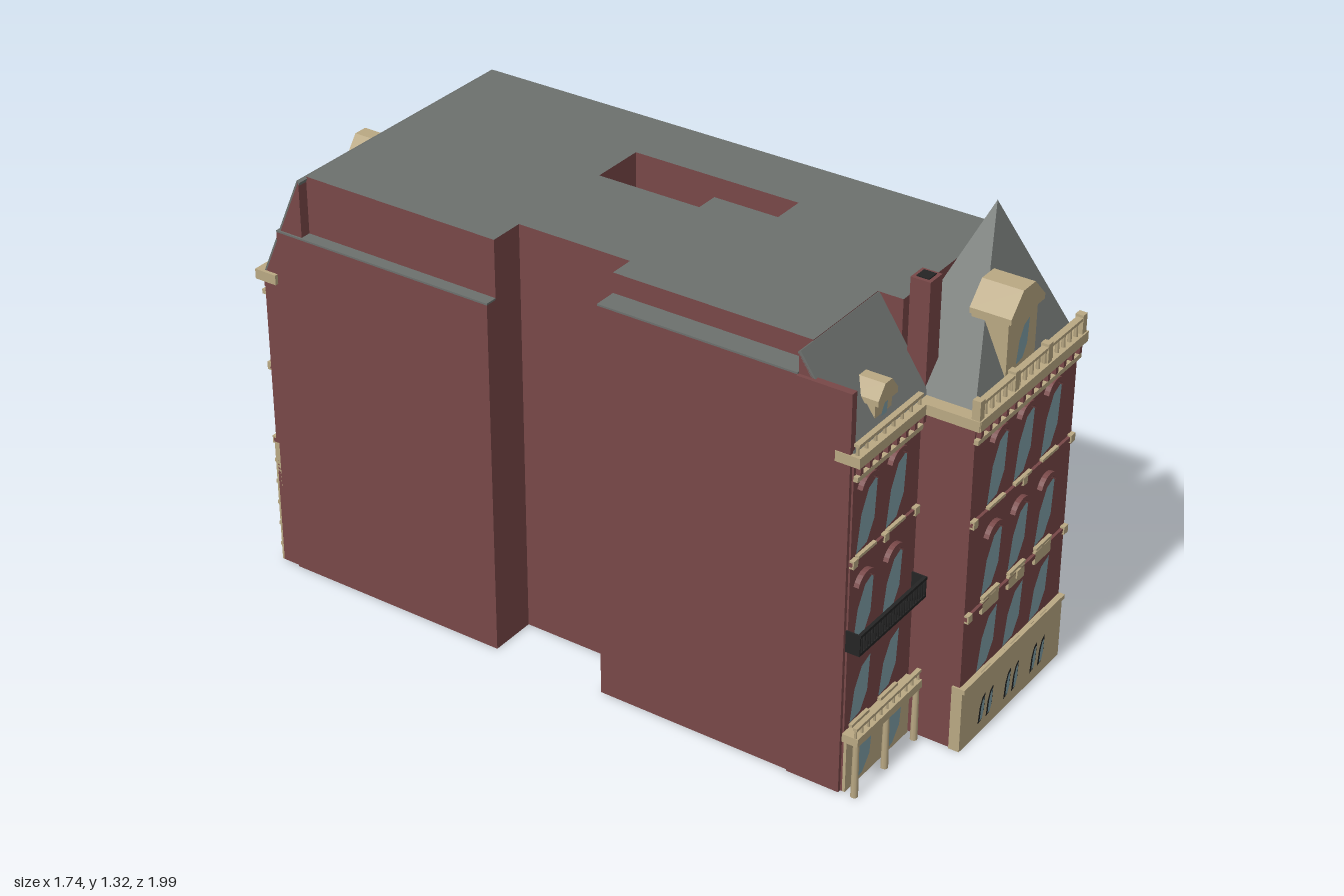
import * as THREE from 'three';
import { ConvexGeometry } from 'three/addons/geometries/ConvexGeometry.js';

const mat = (name, color, side = THREE.FrontSide) => {
  const m = new THREE.MeshStandardMaterial({ color, side });
  m.name = name;
  return m;
};

export function createModel() {
  const brick = mat('brick', 0x784848);
  const slate = mat('slate', 0x6c706d);
  const stone = mat('stone', 0xb9a883);
  const glass = mat('glass', 0x7fa0a8, THREE.DoubleSide);
  const iron = mat('iron', 0x242424);

  const model = new THREE.Group();
  model.name = 'townhouse';
  const house = new THREE.Group();
  house.name = 'house';
  house.rotation.y = 0.562; // the block stands at an angle
  model.add(house);

  const add = (parent, name, geo, material) => {
    const m = new THREE.Mesh(geo, material);
    m.name = name;
    parent.add(m);
    return m;
  };
  // Box given by its limits on each axis
  const box = (parent, name, material, x0, x1, y0, y1, z0, z1) => {
    const m = add(parent, name, new THREE.BoxGeometry(x1 - x0, y1 - y0, z1 - z0), material);
    m.position.set((x0 + x1) / 2, (y0 + y1) / 2, (z0 + z1) / 2);
    return m;
  };
  const polygon = pts => pts.map(p => new THREE.Vector2(p[0], p[1]));
  const extrude = (shape, depth) => new THREE.ExtrudeGeometry(shape, { depth, bevelEnabled: false, curveSegments: 5 });

  // Main body with side notch and open courtyard
  const plan = new THREE.Shape(polygon([[0.38, 0.77], [-0.39, 0.77], [-0.39, 0.18], [-0.29, 0.18], [-0.29, -0.15],
    [-0.36, -0.15], [-0.36, -0.71], [-0.08, -0.71], [-0.08, -0.78], [0.38, -0.78]]));
  plan.holes.push(new THREE.Path(polygon([[0.193, 0.173], [0.193, -0.316], [0.1, -0.316], [0.1, -0.129],
    [0.034, -0.129], [0.034, 0.173]])));
  const bottom = add(house, 'underside', extrude(plan, 0.004), brick);
  const body = add(house, 'mainBody', extrude(plan, 1.176), [slate, brick]);
  bottom.rotation.x = body.rotation.x = -Math.PI / 2;
  body.position.y = 0.004;

  // Lower strips along the left side
  const strip = (x0, x1, z0, z1, h) => {
    box(house, 'sideStrip', brick, x0, x1, 0, h, z0, z1);
    box(house, 'sideStripRoof', slate, x0, x1, h, h + 0.005, z0, z1);
  };
  strip(-0.425, -0.36, 0.15, 0.71, 1.12);
  strip(-0.425, -0.39, -0.85, -0.18, 1.015);
  box(house, 'partyWall', brick, -0.43, -0.41, 0, 1.12, 0.71, 0.86);

  // Block whose outer top edge slopes, with a slate sheet on the slope
  const mansard = (name, x0, x1, zIn, zOut, yLow, yHigh) => {
    const g = extrude(new THREE.Shape(polygon([[zIn, 0], [zOut, 0], [zOut, yLow], [zIn, yHigh]])), x1 - x0);
    g.rotateY(-Math.PI / 2);
    add(house, name, g, brick).position.x = x1;
    const sheet = add(house, name + 'Slope',
      new THREE.BoxGeometry(x1 - x0, Math.hypot(zIn - zOut, yHigh - yLow), 0.01), slate);
    sheet.position.set((x0 + x1) / 2, (yLow + yHigh) / 2, (zIn + zOut) / 2);
    sheet.rotation.x = Math.atan2(zIn - zOut, yHigh - yLow);
  };
  mansard('backBlock', -0.42, 0.38, -0.77, -0.905, 0.87, 1.178);
  mansard('leftWing', -0.42, -0.08, 0.71, 0.865, 0.95, 1.178);

  // Projecting right bay with its pyramid roof
  box(house, 'rightBay', brick, -0.12, 0.38, 0, 0.95, 0.76, 1.01);
  add(house, 'pyramidRoof', new ConvexGeometry([[0.253, 1.315, 0.833], [-0.11, 0.95, 1.0], [0.378, 0.95, 1.0],
    [0.378, 1.02, 0.77], [0.378, 0.95, 0.77], [-0.11, 0.95, 0.72]].map(p => new THREE.Vector3(...p))), slate);

  // Chimney with a dark pot opening
  box(house, 'chimney', brick, -0.088, -0.034, 0.9, 1.25, 0.8, 0.854);
  box(house, 'chimneyOpening', iron, -0.078, -0.044, 1.25, 1.253, 0.81, 0.844);

  // Facade details sit on groups whose z = 0 is the wall face
  const facade = (name, z, back) => {
    const g = new THREE.Group();
    g.name = name;
    g.position.z = z;
    if (back) g.rotation.y = Math.PI;
    house.add(g);
    return g;
  };
  const paneShape = new THREE.Shape(polygon([[-0.5, -0.5], [0.05, -0.45], [0.4, -0.15], [0.5, 0.5], [0.05, 0.4], [-0.3, 0.07]]));
  const pane = (g, x, y, w, h, material = glass, z = 0.004) => {
    const p = add(g, 'windowPane', new THREE.ShapeGeometry(paneShape), material);
    p.scale.set(w, h, 1);
    p.position.set(x, y, z);
  };
  const hoodShape = new THREE.Shape();
  hoodShape.absarc(0, 0, 0.045, 0.35, Math.PI - 0.35, false);
  hoodShape.absarc(0, 0, 0.033, Math.PI - 0.35, 0.35, true);
  const hoodGeo = extrude(hoodShape, 0.014);
  const windowRow = (g, xs, y0, y1, hood) => xs.forEach(x => {
    pane(g, x, (y0 + y1) / 2, 0.086, y1 - y0);
    box(g, 'windowSill', stone, x - 0.04, x + 0.04, y0 - 0.014, y0 - 0.006, 0, 0.01);
    if (hood) add(g, 'windowHood', hoodGeo, brick).position.set(x, y1 - 0.014, 0);
  });
  // Brick string course with stone blocks at its ends
  const course = (g, x0, x1, y) => {
    box(g, 'stringCourse', brick, x0, x1, y, y + 0.012, 0, 0.008);
    for (const x of [x0, (x0 + x1) / 2 - 0.01, x1 - 0.02]) box(g, 'courseBlock', stone, x, x + 0.02, y - 0.005, y + 0.017, 0, 0.012);
  };
  const cornice = (g, x0, x1, y, depth) => {
    box(g, 'cornice', stone, x0, x1, y, y + 0.028, -0.045, depth);
    box(g, 'corniceMoulding', stone, x0 + 0.01, x1 - 0.01, y - 0.045, y - 0.032, 0, 0.012);
    for (let x = x0 + 0.02; x < x1 - 0.01; x += 0.04) box(g, 'corniceBracket', brick, x, x + 0.012, y - 0.03, y, 0, depth * 0.6);
  };
  const railing = (g, name, material, x0, x1, y0, y1, z, step, r) => {
    box(g, name + 'Rail', material, x0, x1, y1 - 0.008, y1, z - r * 1.5, z + r * 1.5);
    const n = Math.round((x1 - x0) / step);
    const geo = new THREE.CylinderGeometry(r * 0.7, r, y1 - y0, 5);
    for (let i = 0; i <= n; i++)
      add(g, name + 'Post', geo, material).position.set(x0 + r + (x1 - x0 - 2 * r) * i / n, (y0 + y1) / 2, z);
  };
  // Gabled dormer
  const dormer = (g, x, y0, eave, top, w, z0, z1) => {
    box(g, 'dormerBody', stone, x - w / 2, x + w / 2, y0, eave, z0, z1);
    box(g, 'dormerEave', stone, x - w * 0.58, x + w * 0.58, eave - 0.015, eave, z0, z1 + 0.012);
    const roof = extrude(new THREE.Shape(polygon([[-w * 0.58, 0], [w * 0.58, 0], [w * 0.2, top - eave], [-w * 0.2, top - eave]])), z1 - z0 + 0.012);
    add(g, 'dormerRoof', roof, stone).position.set(x, eave, z0);
    pane(g, x, y0 + (eave - y0) * 0.5, w * 0.4, (eave - y0) * 0.55, glass, z1 + 0.003);
  };

  // Right bay front
  const bay = facade('bayFront', 1.01);
  const bayX = [-0.005, 0.124, 0.258];
  box(bay, 'stoneBase', stone, -0.125, 0.382, 0, 0.18, -0.02, 0.01);
  box(bay, 'baseMoulding', stone, -0.125, 0.384, 0.175, 0.188, -0.02, 0.016);
  [[0.195, 0.35], [0.42, 0.585], [0.68, 0.855]].forEach(([a, b], i) => windowRow(bay, bayX, a, b, i > 0));
  for (const x of bayX) {
    box(bay, 'carvedPanel', stone, x - 0.04, x + 0.04, 0.365, 0.402, 0, 0.008);
    for (const s of [-0.02, 0.02]) pane(bay, x + s, 0.075, 0.032, 0.08, iron, 0.013), pane(bay, x + s, 0.075, 0.02, 0.065, glass, 0.015);
  }
  course(bay, -0.12, 0.38, 0.385);
  course(bay, -0.12, 0.38, 0.655);
  cornice(bay, -0.135, 0.388, 0.932, 0.022);
  box(bay, 'corniceReturn', stone, -0.138, -0.09, 0.932, 0.96, -0.17, 0.02);
  railing(bay, 'balustrade', stone, -0.13, 0.384, 0.96, 1.005, 0.008, 0.032, 0.006);
  for (const x of [-0.125, 0.04, 0.2, 0.372]) box(bay, 'balustradePier', stone, x - 0.01, x + 0.01, 0.96, 1.012, -0.004, 0.018);
  dormer(bay, 0.12, 0.95, 1.14, 1.195, 0.14, -0.12, -0.02);

  // Left wing front
  const wing = facade('wingFront', 0.865);
  const wingX = [-0.36, -0.228];
  [[0.195, 0.35], [0.42, 0.585], [0.68, 0.855]].forEach(([a, b], i) => windowRow(wing, wingX, a, b, i > 0));
  course(wing, -0.425, -0.125, 0.655);
  cornice(wing, -0.432, -0.12, 0.932, 0.022);
  railing(wing, 'balustrade', stone, -0.425, -0.14, 0.96, 0.99, 0.008, 0.04, 0.005);
  dormer(wing, -0.265, 0.95, 1.04, 1.075, 0.075, -0.085, -0.02);
  // Iron balcony
  box(wing, 'balconyFloor', iron, -0.43, -0.125, 0.418, 0.426, 0, 0.04);
  railing(wing, 'balcony', iron, -0.43, -0.125, 0.42, 0.478, 0.037, 0.012, 0.003);
  for (const x of [-0.428, -0.127]) box(wing, 'balconyEnd', iron, x - 0.002, x + 0.002, 0.42, 0.478, 0, 0.04);
  // Entrance portico
  box(wing, 'entranceWall', stone, -0.42, -0.125, 0, 0.165, 0, 0.008);
  box(wing, 'porticoBeam', stone, -0.43, -0.13, 0.155, 0.178, 0, 0.045);
  railing(wing, 'porticoBalustrade', stone, -0.43, -0.13, 0.178, 0.208, 0.036, 0.03, 0.004);
  for (const x of [-0.42, -0.28, -0.14])
    add(wing, 'porticoColumn', new THREE.CylinderGeometry(0.008, 0.01, 0.156, 8), stone).position.set(x, 0.078, 0.035);
  for (const x of [-0.35, -0.21]) pane(wing, x, 0.075, 0.09, 0.13, glass, 0.011);

  // Back facade, seen from behind with its own left to right
  const rear = facade('rearFront', -0.905, true);
  const rearX = [-0.257, -0.12, 0.02, 0.15, 0.29];
  box(rear, 'rearStoneBase', stone, -0.38, 0.42, 0, 0.37, -0.01, 0.006);
  for (let r = 0; r < 11; r++) for (let c = 0; c < 10; c++) {
    const x = -0.375 + c * 0.08 + (r % 2) * 0.035;
    box(rear, 'rusticBlock', stone, x, x + 0.04, 0.01 + r * 0.033, 0.02 + r * 0.033, 0.006, 0.01);
  }
  windowRow(rear, rearX, 0.4, 0.57, true);
  windowRow(rear, rearX, 0.63, 0.8, true);
  for (const x of rearX.slice(1)) pane(rear, x, 0.235, 0.086, 0.17, glass, 0.013);
  pane(rear, rearX[0], 0.105, 0.06, 0.2, iron, 0.013);
  course(rear, -0.38, 0.42, 0.37);
  course(rear, -0.38, 0.42, 0.595);
  cornice(rear, -0.384, 0.43, 0.86, 0.022);
  box(rear, 'dormerBase', stone, -0.07, 0.1, 0.885, 0.96, -0.08, 0);
  dormer(rear, 0.015, 0.95, 1.07, 1.12, 0.1, -0.12, -0.01);
  // Skylights lying on the slope
  for (const x of [-0.257, 0.29]) {
    const light = new THREE.Group();
    light.name = 'skylight';
    light.position.set(x, 0.97, -0.036);
    light.rotation.x = -0.413;
    rear.add(light);
    box(light, 'skylightFrame', slate, -0.035, 0.035, -0.04, 0.04, -0.01, 0.01);
    box(light, 'skylightGlass', glass, -0.024, 0.024, -0.028, 0.028, 0.01, 0.013);
  }
  return model;
}
